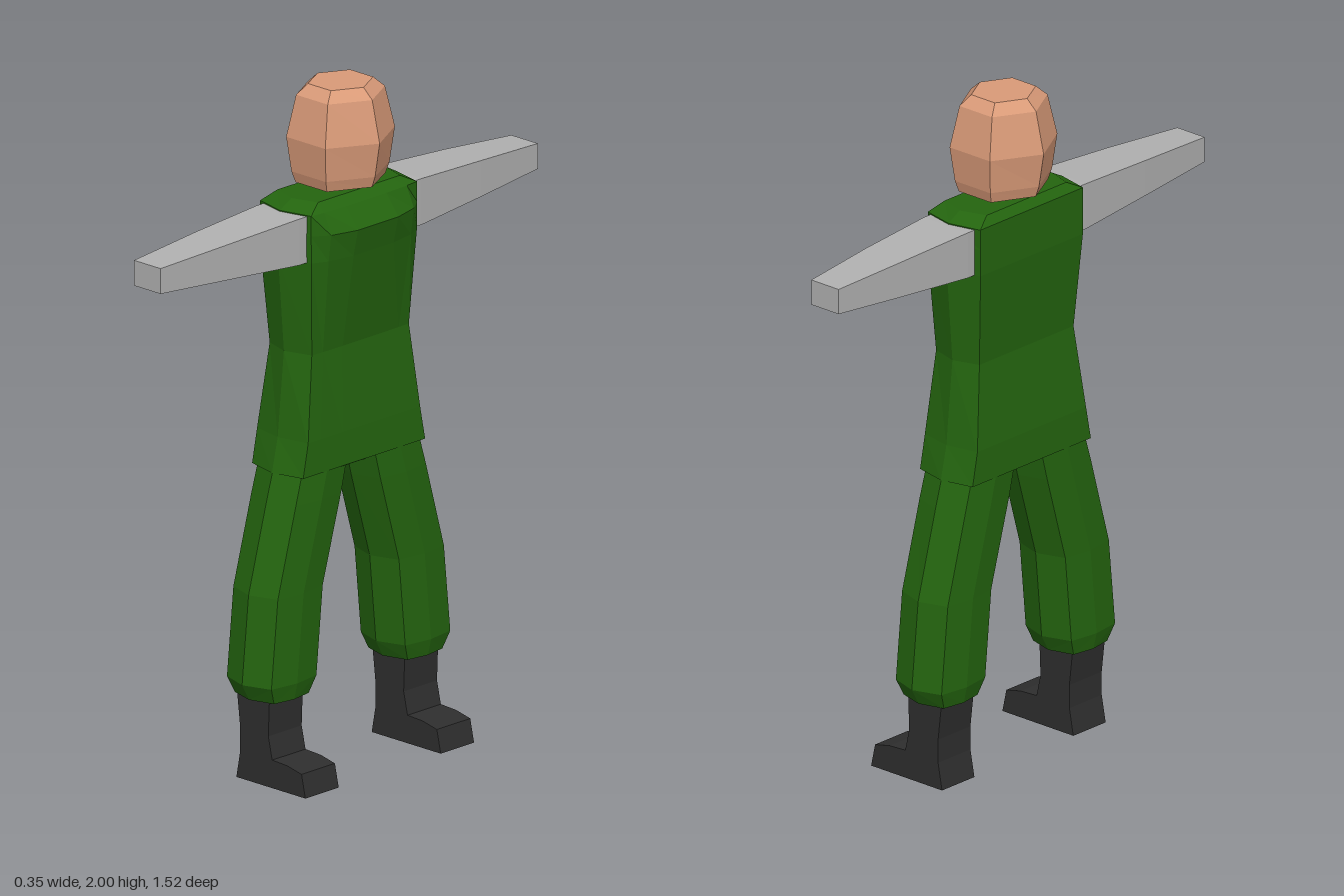
import * as THREE from 'three';

const mat = (name, color, flatShading = true) => {
  const m = new THREE.MeshStandardMaterial({ color, flatShading });
  m.name = name;
  return m;
};

// Closed faceted skin through rings of [x, y, z] points; tips optionally move the end cap centres.
function loft(rings, startTip, endTip) {
  const tris = [];
  const n = rings[0].length;
  const mid = (r) => [0, 1, 2].map((k) => r.reduce((s, p) => s + p[k], 0) / n);
  const first = rings[0], last = rings[rings.length - 1];
  const a0 = startTip || mid(first), a1 = endTip || mid(last);
  for (let i = 0; i < n; i++) {
    const j = (i + 1) % n;
    for (let r = 0; r + 1 < rings.length; r++) {
      const a = rings[r], b = rings[r + 1];
      tris.push([a[i], a[j], b[j]], [a[i], b[j], b[i]]);
    }
    tris.push([a0, first[j], first[i]], [a1, last[i], last[j]]);
  }
  // turn the skin outward whichever way the rings run
  const v = (p) => new THREE.Vector3(...p);
  const volume = tris.reduce((s, [a, b, c]) => s + v(a).dot(v(b).cross(v(c))), 0);
  if (volume < 0) tris.forEach((t) => t.reverse());
  const g = new THREE.BufferGeometry();
  g.setAttribute('position', new THREE.Float32BufferAttribute(tris.flat(2), 3));
  g.computeVertexNormals();
  return g;
}

export function createModel() {
  const green = mat('green cloth', 0x24650f);
  const grey = mat('grey sleeve', 0xb0b0b0);
  const skin = mat('skin', 0xd99a78);
  const black = mat('black boot', 0x2e2e2e);

  const group = new THREE.Group();
  group.name = 'figure';
  const body = new THREE.Group();
  body.name = 'body';
  body.position.z = -0.012;
  group.add(body);
  const add = (name, geometry, material) => {
    const m = new THREE.Mesh(geometry, material);
    m.name = name;
    body.add(m);
    return m;
  };
  const cx = -0.03;

  // Torso: y, back, front edge, chest, half width of front, half width at side ridge
  const torso = [
    [0.9, -0.13, 0.07, 0.07, 0.245, 0.268],
    [1.0, -0.13, 0.07, 0.07, 0.225, 0.245],
    [1.25, -0.11, 0.055, 0.058, 0.195, 0.22],
    [1.53, -0.13, 0.07, 0.107, 0.212, 0.243],
    [1.61, -0.13, 0.07, 0.125, 0.213, 0.243],
    [1.67, -0.13, 0.07, 0.078, 0.213, 0.236],
    [1.695, -0.11, 0.05, 0.05, 0.165, 0.19],
  ].map(([y, back, front, chest, wf, w]) => {
    const half = [
      [chest, 0.38 * wf], [front + (chest - front) * 0.6, 0.78 * wf],
      [front, wf], [cx, w], [back, wf],
    ];
    const other = half.map(([x, z]) => [x, -z]).reverse();
    return [...half, ...other].map(([x, z]) => [x, y, z]);
  });
  add('torso', loft(torso, [cx, 0.85, 0]), green);

  // Head: y, half length, half width of a six-sided ring
  const head = [
    [1.712, 0.123, 0.118], [1.745, 0.135, 0.128], [1.848, 0.153, 0.14],
    [1.97, 0.124, 0.115], [2.0, 0.09, 0.085],
  ].map(([y, hx, hz]) =>
    [[1, 0], [0.5, 1], [-0.5, 1], [-1, 0], [-0.5, -1], [0.5, -1]]
      .map(([x, z]) => [-0.0225 + x * hx, y, z * hz]));
  add('head', loft(head), skin);

  // Boot side profile
  const bootShape = new THREE.Shape([
    [-0.1, 0], [0.17, 0], [0.155, 0.068], [0.1, 0.08], [0.04, 0.083],
    [0.025, 0.15], [0.03, 0.28], [-0.1, 0.28], [-0.085, 0.15], [-0.085, 0.08],
  ].map(([x, y]) => new THREE.Vector2(x, y)));

  for (const s of [1, -1]) {
    const side = s > 0 ? 'right' : 'left';

    // Trouser leg: y, inner z, outer z, half depth
    const leg = [
      [0.25, 0.177, 0.36, 0.088], [0.3, 0.15, 0.388, 0.1], [0.56, 0.125, 0.362, 0.1],
      [0.82, 0.05, 0.29, 0.1], [0.9, 0.03, 0.266, 0.099],
    ].map(([y, z0, z1, d]) => {
      const c = (z0 + z1) / 2, w = (z1 - z0) / 2;
      return [[0, 1], [0.87, 0.76], [1, 0], [0.87, -0.76], [0, -1], [-0.87, -0.76], [-1, 0], [-0.87, 0.76]]
        .map(([x, z]) => [cx + x * d, y, s * (c + z * w)]);
    });
    add(side + 'Leg', loft(leg), green);

    // Boot
    const boot = add(side + 'Boot',
      new THREE.ExtrudeGeometry(bootShape, { depth: 0.134, bevelEnabled: false }), black);
    boot.position.z = s * 0.272 - 0.067;

    // Tapered arm: z, back, front, bottom, top
    const arm = [
      [0.15, -0.112, 0.056, 1.53, 1.667], [0.245, -0.112, 0.056, 1.53, 1.667],
      [0.5, -0.1, 0.042, 1.548, 1.655], [s > 0 ? 0.769 : 0.748, -0.082, 0.022, 1.565, 1.64],
    ].map(([z, x0, x1, y0, y1]) =>
      [[x0, y0], [x1, y0], [x1, y1], [x0, y1]].map(([x, y]) => [x, y, s * z]));
    add(side + 'Arm', loft(arm), grey);
  }
  return group;
}
